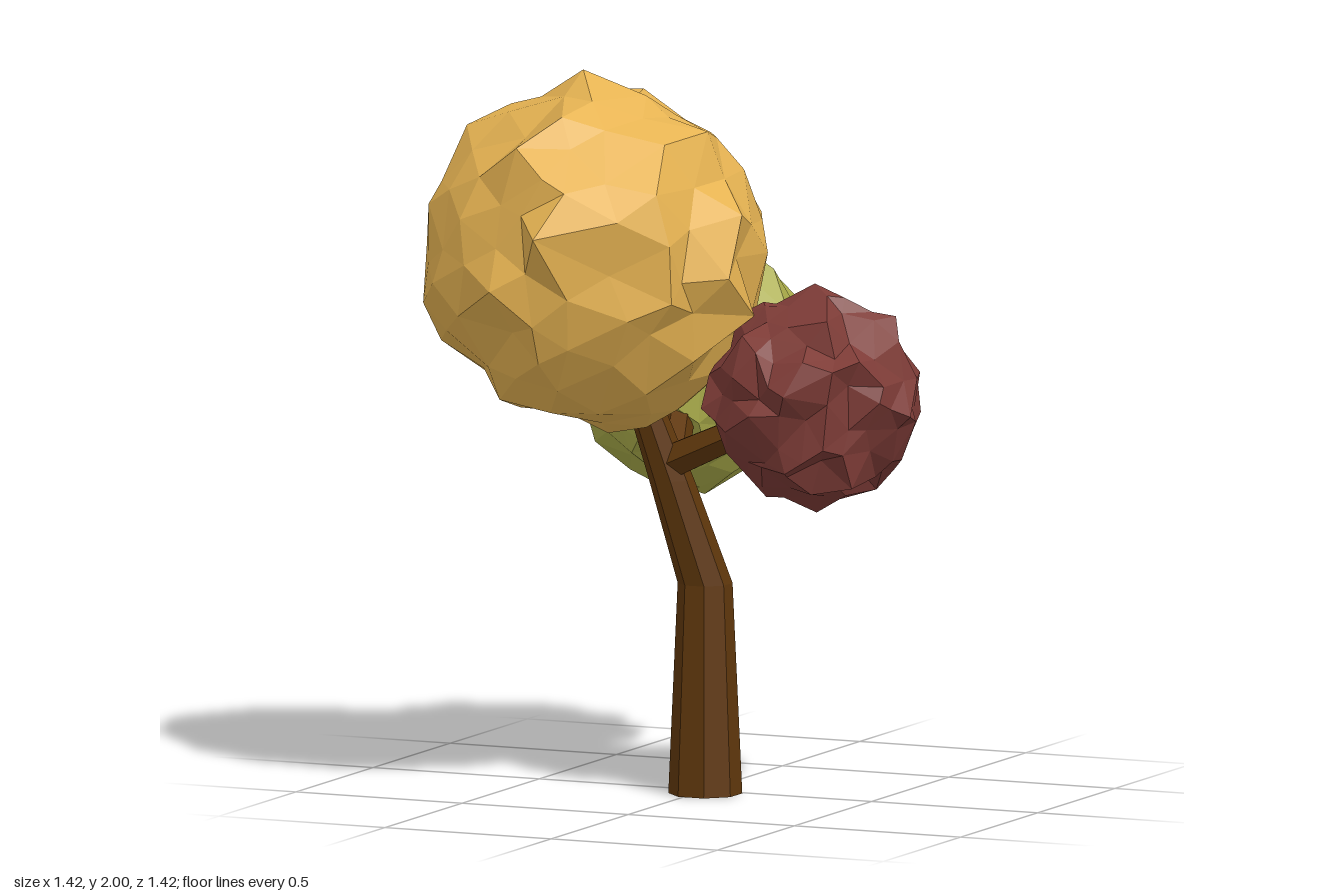
import * as THREE from 'three';
import { mergeVertices } from 'three/addons/utils/BufferGeometryUtils.js';

const V = (x, y, z) => new THREE.Vector3(x, y, z);
const paint = (color) => new THREE.MeshStandardMaterial({ color, flatShading: true });

function seeded(seed) {
  return () => {
    seed = (seed * 16807) % 2147483647;
    return seed / 2147483647 * 2 - 1;
  };
}

// Faceted leaf ball: an icosphere with jittered vertices and a few pulled peaks
function crown(name, color, center, radius, jitter, seed, peaks) {
  const ball = new THREE.IcosahedronGeometry(1, 3);
  ball.deleteAttribute('normal');
  ball.deleteAttribute('uv');
  const geo = mergeVertices(ball, 1e-3);
  const pos = geo.attributes.position;
  const rand = seeded(seed);
  const v = V(0, 0, 0);
  for (let i = 0; i < pos.count; i++) {
    v.fromBufferAttribute(pos, i);
    v.add(V(rand(), rand(), rand()).multiplyScalar(jitter)).multiplyScalar(radius);
    pos.setXYZ(i, v.x, v.y, v.z);
  }
  for (const [x, y, z] of peaks) {
    const target = V(x, y, z).sub(center);
    let best = 0, bestAngle = Infinity;
    for (let i = 0; i < pos.count; i++) {
      const angle = v.fromBufferAttribute(pos, i).angleTo(target);
      if (angle < bestAngle) { bestAngle = angle; best = i; }
    }
    pos.setXYZ(best, target.x, target.y, target.z);
  }
  geo.computeVertexNormals();
  const mesh = new THREE.Mesh(geo, paint(color));
  mesh.name = name;
  mesh.position.copy(center);
  return mesh;
}

// Octagonal limb lofted through level rings [x, y, z, radius], open at the foot
function loftTrunk(rings, sides = 8) {
  const points = [], index = [];
  for (const [x, y, z, r] of rings) {
    for (let i = 0; i < sides; i++) {
      const a = (i + 0.5) / sides * Math.PI * 2;
      points.push(x + r * Math.sin(a), y, z + r * Math.cos(a));
    }
  }
  for (let k = 0; k < rings.length - 1; k++) {
    for (let i = 0; i < sides; i++) {
      const a = k * sides + i, b = k * sides + (i + 1) % sides;
      index.push(a, b, b + sides, a, b + sides, a + sides);
    }
  }
  const top = (rings.length - 1) * sides;
  for (let i = 1; i < sides - 1; i++) index.push(top, top + i, top + i + 1);
  const geo = new THREE.BufferGeometry();
  geo.setAttribute('position', new THREE.Float32BufferAttribute(points, 3));
  geo.setIndex(index);
  geo.computeVertexNormals();
  return geo;
}

// Straight tapered branch between two points
function branch(name, from, to, r0, r1, material) {
  const dir = to.clone().sub(from);
  const mesh = new THREE.Mesh(new THREE.CylinderGeometry(r1, r0, dir.length(), 6), material);
  mesh.name = name;
  mesh.position.copy(from).addScaledVector(dir, 0.5);
  mesh.quaternion.setFromUnitVectors(V(0, 1, 0), dir.normalize());
  return mesh;
}

export function createModel() {
  const tree = new THREE.Group();
  tree.name = 'tree';
  const bark = paint(0x5f370c);
  bark.side = THREE.DoubleSide;

  // Trunk with a bend, leaning into the largest crown
  const trunk = new THREE.Mesh(loftTrunk([
    [0.023, 0, 0.05, 0.101],
    [0.021, 0.58, 0.047, 0.075],
    [-0.055, 0.87, 0.102, 0.062],
    [-0.115, 1.08, 0.145, 0.05],
  ]), bark);
  trunk.name = 'trunk';
  tree.add(trunk);

  // Side branches
  tree.add(branch('leftBranch', V(-0.05, 0.92, 0.11), V(0.27, 1.065, 0.14), 0.052, 0.042, bark));
  tree.add(branch('backBranch', V(-0.06, 0.89, 0.1), V(-0.16, 1.07, -0.2), 0.05, 0.04, bark));

  // Leaf crowns
  tree.add(crown('largeCrown', 0xe6b352, V(-0.235, 1.49, 0.2), 0.46, 0.07, 29, [
    [-0.27, 2, 0.21], [-0.19, 1.6, 0.71], [-0.715, 1.48, 0.2], [0.24, 1.35, 0.2],
    [-0.3, 1.83, 0.58], [-0.2, 1.92, -0.03], [-0.16, 1.63, -0.235],
    [-0.65, 1.75, 0.15], [0.1, 1.85, 0.2], [-0.57, 1.15, 0.2], [-0.2, 1, 0.2],
  ]));
  tree.add(crown('backCrown', 0xacae4b, V(-0.21, 1.125, -0.36), 0.33, 0.085, 61, [
    [-0.19, 1.54, -0.37], [0.14, 1.15, -0.26], [-0.18, 1.22, -0.71], [-0.56, 1.04, -0.42],
    [0.08, 1.2, -0.61], [-0.2, 1.46, -0.55], [-0.15, 0.765, -0.32],
  ]));
  tree.add(crown('leftCrown', 0x7e3c37, V(0.395, 1.125, 0.14), 0.282, 0.1, 97, [
    [0.71, 1.1, 0.2], [0.44, 1.17, 0.445], [0.39, 1.44, 0.13], [0.4, 0.81, 0.14],
    [0.62, 1.36, 0.1], [0.42, 1.2, -0.16], [0.1, 1.12, 0.12],
  ]));
  return tree;
}
